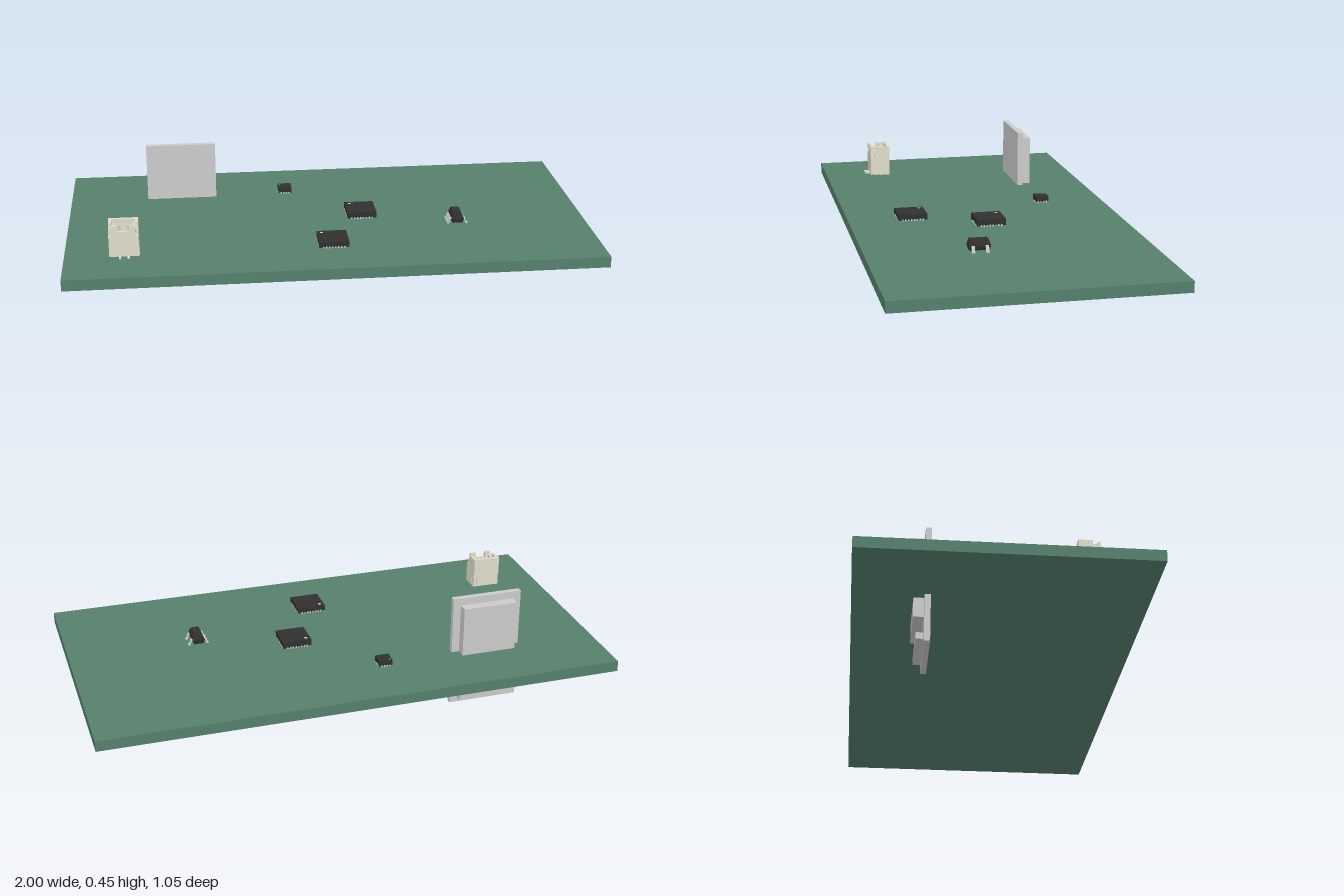
import * as THREE from 'three';
import { ConvexGeometry } from 'three/addons/geometries/ConvexGeometry.js';

const mat = (color) => new THREE.MeshStandardMaterial({ color });
const green = mat(0x55806c), grey = mat(0xcccccc), black = mat(0x303030), cream = mat(0xe0dccb);
const TOP = 0.222; // upper face of the board

function add(parent, name, geometry, material) {
  const mesh = new THREE.Mesh(geometry, material);
  mesh.name = name;
  parent.add(mesh);
  return mesh;
}

// Box given by its lower and upper limits on each axis
function box(parent, name, material, x0, x1, y0, y1, z0, z1) {
  const mesh = add(parent, name, new THREE.BoxGeometry(x1 - x0, y1 - y0, z1 - z0), material);
  mesh.position.set((x0 + x1) / 2, (y0 + y1) / 2, (z0 + z1) / 2);
  return mesh;
}

// Outline in x and y, extruded along z and centred on z = 0
function slab(points, depth) {
  const shape = new THREE.Shape(points.map(([x, y]) => new THREE.Vector2(x, y)));
  return new THREE.ExtrudeGeometry(shape, { depth, bevelEnabled: false }).translate(0, 0, -depth / 2);
}

function group(parent, name, x, y, z) {
  const g = new THREE.Group();
  g.name = name;
  g.position.set(x, y, z);
  parent.add(g);
  return g;
}

// Flat leadless chip with a pin-one dot and a row of pads on each side
function flatChip(parent, name, x, z, size, height, pads) {
  const g = group(parent, name, x, TOP, z);
  const h = size / 2, pitch = size * 0.8 / pads, w = pitch * 0.5;
  box(g, 'chipBody', black, -h, h, 0.003, height, -h, h);
  for (let side = 0; side < 4; side++) {
    const row = group(g, 'padRow', 0, 0, 0);
    row.rotation.y = side * Math.PI / 2;
    for (let i = 0; i < pads; i++) {
      const c = (i - (pads - 1) / 2) * pitch;
      box(row, 'pad', grey, c - w / 2, c + w / 2, 0, 0.007, h - 0.009, h + 0.0006);
    }
  }
  const dot = add(g, 'pinOneDot', new THREE.CylinderGeometry(size * 0.055, size * 0.055, 0.001, 16), grey);
  dot.position.set(-h * 0.68, height, -h * 0.68);
}

// Small chip with bent leads: three on one side, two on the other
function leadedChip(parent, x, z) {
  const g = group(parent, 'leadedChip', x, TOP, z);
  const corners = [];
  for (const [w, d, y] of [[0.019, 0.037, 0.006], [0.024, 0.041, 0.023], [0.016, 0.034, 0.045]])
    for (const sx of [-1, 1]) for (const sz of [-1, 1]) corners.push(new THREE.Vector3(sx * w, y, sz * d));
  add(g, 'chipBody', new ConvexGeometry(corners), black);
  const lead = slab([[0.015, 0.02], [0.026, 0.02], [0.032, 0.001], [0.04, 0.001],
    [0.04, 0.006], [0.035, 0.006], [0.029, 0.025], [0.015, 0.025]], 0.012);
  for (const [side, rows] of [[1, [-1, 1]], [-1, [-1, 0, 1]]])
    for (const r of rows) {
      const pin = add(g, 'lead', lead, grey);
      pin.position.z = r * 0.026;
      if (side < 0) pin.rotation.y = Math.PI;
    }
}

// Upright two-pin socket, open at the top
function socket(parent, x, z) {
  const g = group(parent, 'socket', x, TOP, z);
  const H = 0.123;
  // side walls: stepped at the upper front and lower back
  const wall = slab([[-0.041, 0.043], [-0.018, 0.043], [-0.018, 0.015], [-0.012, 0.015], [-0.012, 0.002],
    [0.041, 0.002], [0.041, 0.081], [0.026, 0.081], [0.026, 0.108], [0.01, 0.108], [0.01, H], [-0.041, H]], 0.012);
  wall.rotateY(-Math.PI / 2);
  for (const s of [-1, 1]) {
    add(g, 'sideWall', wall, cream).position.x = s * 0.049;
    box(g, 'innerWall', cream, s * 0.0395 - 0.0045, s * 0.0395 + 0.0045, 0.002, 0.108, -0.038, 0.038);
    box(g, 'frontPost', cream, s * 0.032 - 0.012, s * 0.032 + 0.012, 0.05, H, 0.029, 0.041);
    box(g, 'solderTab', cream, s * 0.049 - 0.005, s * 0.049 + 0.005, 0, 0.04, -0.039, -0.012);
    for (let i = 0; i < 3; i++)
      box(g, 'tabTooth', cream, s * 0.053 - 0.003, s * 0.053 + 0.003, 0, 0.012, -0.03 + i * 0.022, -0.022 + i * 0.022);
    // contact and its foot
    box(g, 'contact', grey, s * 0.016 - 0.004, s * 0.016 + 0.004, 0.04, 0.105, -0.012, -0.004);
    box(g, 'contactFoot', cream, s * 0.016 - 0.004, s * 0.016 + 0.004, 0, 0.006, 0.03, 0.062);
  }
  box(g, 'backWall', cream, -0.043, 0.043, 0.002, H, -0.041, -0.03);
  box(g, 'frontWall', cream, -0.043, 0.043, 0.002, 0.1, 0.03, 0.041);
  box(g, 'socketFloor', cream, -0.043, 0.043, 0.002, 0.045, -0.035, 0.035);
}

export function createModel() {
  const model = new THREE.Group();
  model.name = 'circuitBoard';
  box(model, 'board', green, -1, 1, 0.18, TOP, -0.525, 0.525);

  // Upright module passing through the board
  const module = group(model, 'uprightModule', 0, 0, 0);
  box(module, 'frontPlate', grey, -0.695, -0.42, 0, 0.447, -0.27, -0.248);
  box(module, 'rearBlock', grey, -0.665, -0.45, 0.105, 0.418, -0.308, -0.27);
  box(module, 'lowerStrip', grey, -0.665, -0.45, 0.02, 0.045, -0.298, -0.27);

  flatChip(model, 'centreChip', 0.137, -0.002, 0.113, 0.028, 8);
  flatChip(model, 'frontChip', -0.003, 0.278, 0.113, 0.025, 8);
  flatChip(model, 'smallChip', -0.14, -0.279, 0.053, 0.025, 4);
  leadedChip(model, 0.498, 0.112);
  socket(model, -0.779, 0.294);
  return model;
}
